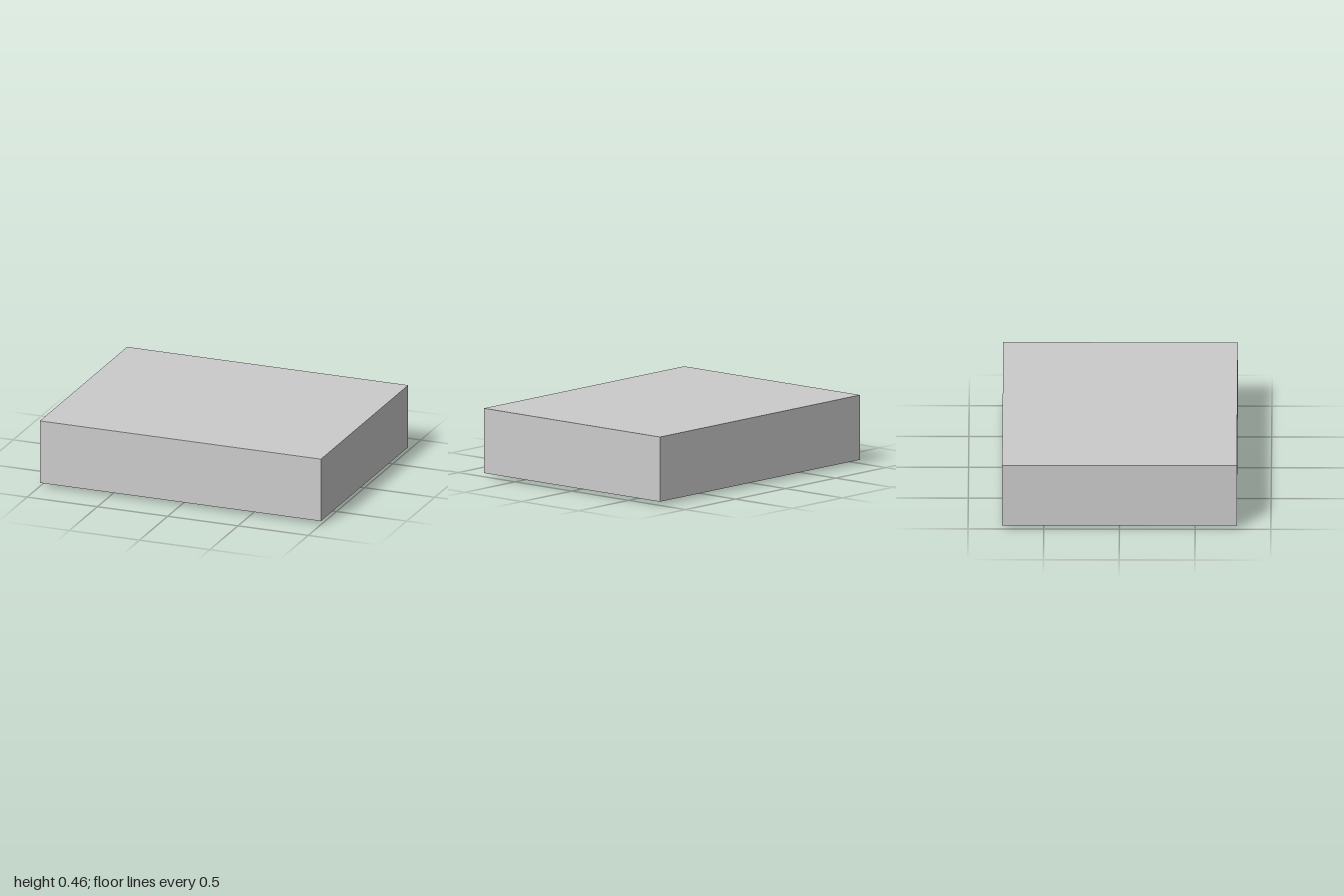
import * as THREE from 'three';

const material = new THREE.MeshStandardMaterial({ color: 0xcccccc });

function add(group, name, geometry, x, y, z) {
  const mesh = new THREE.Mesh(geometry, material);
  mesh.name = name;
  mesh.position.set(x, y, z);
  group.add(mesh);
}

// Solid box resting on height y0
function block(group, name, w, d, y0, y1, z = 0) {
  add(group, name, new THREE.BoxGeometry(w, y1 - y0, d), 0, (y0 + y1) / 2, z);
}

const corners = (w, d) => [[-1, -1], [1, -1], [1, 1], [-1, 1]]
  .map(([i, j]) => new THREE.Vector2(i * w / 2, j * d / 2));

// Rectangular ring with a rectangular opening, lying flat
function frame(group, name, w, d, innerW, innerD, y0, y1, z = 0) {
  const shape = new THREE.Shape(corners(w, d));
  shape.holes.push(new THREE.Path(corners(innerW, innerD)));
  const geometry = new THREE.ExtrudeGeometry(shape, { depth: y1 - y0, bevelEnabled: false });
  geometry.rotateX(-Math.PI / 2);
  add(group, name, geometry, 0, y0, z);
}

export function createModel() {
  const model = new THREE.Group();
  const bottom = 0.025, recess = 0.045, top = 0.46;

  // Main slab, with a shallow recess framed on its underside
  block(model, 'body', 2, 1.55, recess, top);
  frame(model, 'undersideFrame', 2, 1.55, 1.71, 1.13, bottom, recess);

  // Two long feet, each with a thin rim around a sunken sole
  const rim = 0.025, sole = 0.015;
  for (const [name, z0, z1] of [['frontFoot', 0.18, 0.52], ['backFoot', -0.52, -0.16]]) {
    const foot = new THREE.Group();
    foot.name = name;
    const w = 1.6, d = z1 - z0, z = (z0 + z1) / 2;
    block(foot, name + 'Pad', w, d, sole, recess, z);
    frame(foot, name + 'Rim', w, d, w - 2 * rim, d - 2 * rim, 0, sole, z);
    model.add(foot);
  }
  return model;
}
